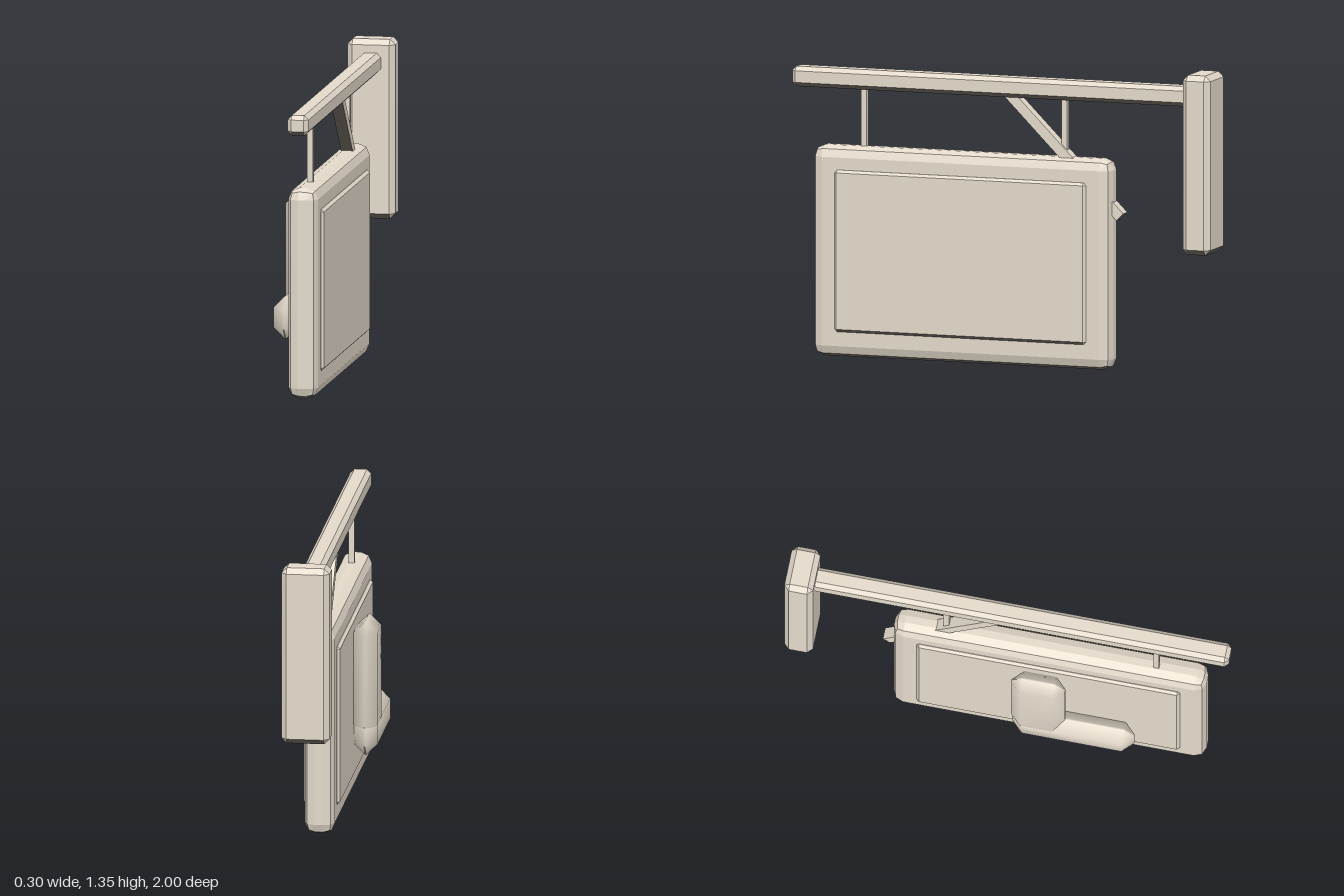
import * as THREE from 'three';
import { ConvexGeometry } from 'three/addons/geometries/ConvexGeometry.js';
import { RoundedBoxGeometry } from 'three/addons/geometries/RoundedBoxGeometry.js';
import { mergeVertices } from 'three/addons/utils/BufferGeometryUtils.js';

// Box with every edge cut by one flat bevel
function chamferBox(w, h, d, b) {
  const points = [];
  for (const x of [-1, 1]) for (const y of [-1, 1]) for (const z of [-1, 1]) {
    points.push(
      new THREE.Vector3(x * w / 2, y * (h / 2 - b), z * (d / 2 - b)),
      new THREE.Vector3(x * (w / 2 - b), y * h / 2, z * (d / 2 - b)),
      new THREE.Vector3(x * (w / 2 - b), y * (h / 2 - b), z * d / 2));
  }
  return new ConvexGeometry(points);
}

// Same box with one smooth skin
function softBox(w, h, d, b) {
  const box = chamferBox(w, h, d, b);
  box.deleteAttribute('normal');
  const merged = mergeVertices(box);
  merged.computeVertexNormals();
  return merged.toNonIndexed();
}

// Separate, flat facets
function faceted(geometry) {
  const flat = geometry.index ? geometry.toNonIndexed() : geometry;
  flat.computeVertexNormals();
  return flat;
}

// Gives faces that point down material 1 and all others material 0
function groupUndersides(geometry) {
  const position = geometry.attributes.position;
  const triangle = new THREE.Triangle();
  const normal = new THREE.Vector3();
  geometry.clearGroups();
  for (let i = 0; i < position.count; i += 3) {
    triangle.setFromAttributeAndIndices(position, i, i + 1, i + 2);
    triangle.getNormal(normal);
    geometry.addGroup(i, 3, normal.y < -0.6 ? 1 : 0);
  }
  return geometry;
}

export function createModel() {
  const group = new THREE.Group();
  const wood = new THREE.MeshStandardMaterial({ color: 0xe4dacb });
  wood.name = 'pale wood';
  const underside = new THREE.MeshStandardMaterial({ color: 0x6c6660 });
  underside.name = 'dark underside';
  const axisX = 0.04; // centre plane of the sign

  function add(name, geometry, x, y, z, parent = group) {
    const mesh = new THREE.Mesh(groupUndersides(geometry), [wood, underside]);
    mesh.name = name;
    mesh.position.set(x, y, z);
    parent.add(mesh);
  }

  // Wall post and the arm reaching forward from it
  add('wallPost', chamferBox(0.215, 0.805, 0.13, 0.024), axisX, 0.9475, -0.935);
  add('arm', chamferBox(0.094, 0.09, 1.9, 0.019), axisX, 1.245, 0.05);

  // Hanging board with a raised panel on both faces
  const board = new RoundedBoxGeometry(0.134, 0.945, 1.415, 1, 0.05);
  add('board', faceted(board), axisX, 0.4725, 0.19);
  add('raisedPanel', chamferBox(0.162, 0.725, 1.19, 0.012), axisX, 0.4775, 0.19);

  // Hangers
  for (const z of [0.667, -0.282]) {
    add('hanger', faceted(new THREE.BoxGeometry(0.026, 0.3, 0.026)), axisX, 1.07, z);
  }

  // Diagonal brace, running through the board and out of its back edge
  const brace = new THREE.BoxGeometry(0.053, 0.046, 0.773).rotateX(-Math.PI / 4);
  add('brace', faceted(brace), axisX, 0.9615, -0.2765);

  // Boot emblem on one face
  const boot = new THREE.Group();
  boot.name = 'bootEmblem';
  add('bootShaft', softBox(0.108, 0.52, 0.245, 0.05), -0.094, 0.568, 0.1575, boot);
  add('bootFoot', softBox(0.108, 0.19, 0.55, 0.05), -0.094, 0.313, 0.318, boot);
  group.add(boot);

  return group;
}
